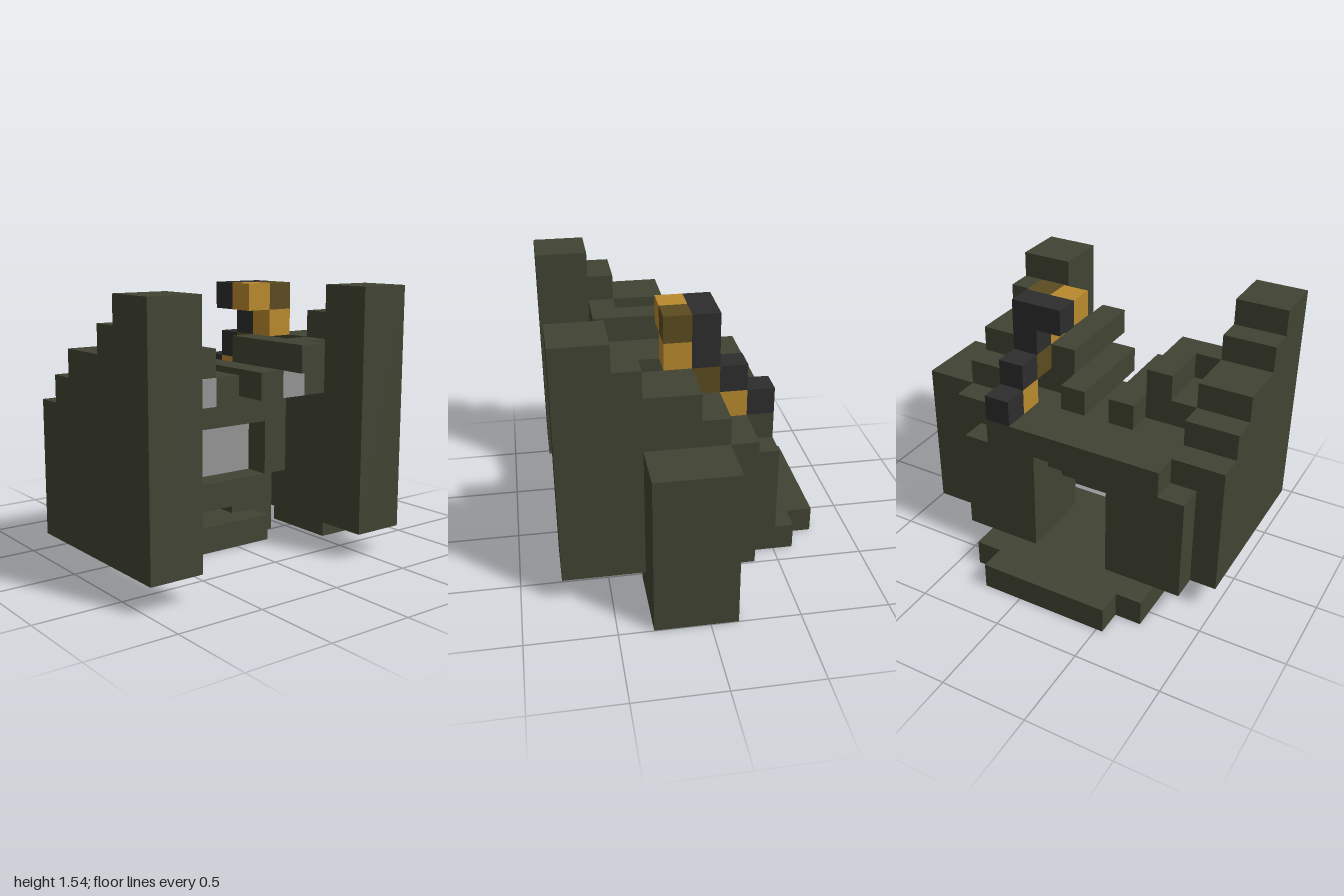
import * as THREE from 'three';

const U = 2 / 13; // one block; the model is 13 x 10 x 10 blocks

const mat = (name, color) => {
  const m = new THREE.MeshStandardMaterial({ color });
  m.name = name;
  return m;
};

export function createModel() {
  const olive = mat('olive', 0x414433);
  const grey = mat('grey', 0x959595);
  const black = mat('charcoal', 0x2d2d2d);
  const gold = mat('brass', 0xb98a2d);
  const bronze = mat('dark brass', 0x5c4b20);

  const root = new THREE.Group();
  root.name = 'blockTurret';

  const group = (name) => {
    const g = new THREE.Group();
    g.name = name;
    root.add(g);
    return g;
  };
  // Block coordinates to model units
  const place = (mesh, x, y, z) => mesh.position.set(x * U - 1, y * U, (z - 5) * U);
  const box = (parent, name, material, [x0, x1], [y0, y1], [z0, z1]) => {
    const mesh = new THREE.Mesh(
      new THREE.BoxGeometry((x1 - x0) * U, (y1 - y0) * U, (z1 - z0) * U), material);
    mesh.name = name;
    place(mesh, (x0 + x1) / 2, (y0 + y1) / 2, (z0 + z1) / 2);
    parent.add(mesh);
  };
  // The same box on both sides of the turret's middle plane
  const pair = (parent, name, material, [x0, x1], y, z) => {
    box(parent, name + 'Right', material, [x0, x1], y, z);
    box(parent, name + 'Left', material, [11 - x1, 11 - x0], y, z);
  };

  // Base plate with notched corners and dark strips underneath
  const base = group('base');
  box(base, 'basePlate', olive, [2, 9], [0, 1], [1, 5]);
  box(base, 'baseBack', olive, [3, 8], [0, 1], [0, 1]);
  box(base, 'baseFront', olive, [3, 8], [0, 1], [5, 6]);
  pair(base, 'baseStrip', black, [3.25, 3.75], [-0.01, 0.02], [1.5, 4.5]);

  // Hull with an open back
  const hull = group('hull');
  pair(hull, 'hullWall', olive, [2, 4], [1, 6], [2, 5]);
  box(hull, 'hullRoof', olive, [4, 7], [5, 6], [2, 5]);
  pair(hull, 'rearShoulder', olive, [1, 2], [1, 5], [2, 3]);
  box(hull, 'innerStepUpper', olive, [4, 7], [4, 5], [3, 5]);
  box(hull, 'innerStepLower', olive, [4, 7], [3, 4], [4, 5]);

  // Front window frame with a recessed panel
  const frame = group('frontFrame');
  pair(frame, 'frameSide', olive, [3, 4], [3, 6], [5, 7]);
  box(frame, 'frameTop', olive, [4, 7], [5, 6], [5, 7]);
  box(frame, 'frameSill', olive, [4, 7], [2, 3], [5, 7]);
  box(frame, 'panelBacking', olive, [4, 7], [3, 5], [5, 6]);
  box(frame, 'panel', grey, [4, 7], [3, 5], [6, 6.03]);

  // Tall side shields, stepped down toward the back
  const shields = group('sideShields');
  const profile = [[3, 1], [10, 1], [10, 10], [8, 10], [8, 9], [7, 9], [7, 8],
    [5, 8], [5, 7], [4, 7], [4, 6], [3, 6]];
  const shieldGeometry = new THREE.ExtrudeGeometry(
    new THREE.Shape(profile.map(([z, y]) => new THREE.Vector2(z * U, y * U))),
    { depth: 2 * U, bevelEnabled: false }).rotateY(-Math.PI / 2);
  for (const [name, x] of [['shieldRight', 2], ['shieldLeft', 11]]) {
    const mesh = new THREE.Mesh(shieldGeometry, olive);
    mesh.name = name;
    place(mesh, x, 0, 0);
    shields.add(mesh);
  }

  // Ammunition box beside the left shield
  const ammo = group('ammunitionBox');
  box(ammo, 'ammoBoxBody', olive, [11, 13], [1, 6], [4, 7]);
  box(ammo, 'ammoBoxBottom', olive, [10, 13], [0, 1], [4, 7]);

  // Roof rails and sight housings with grey lenses
  const roof = group('roofSights');
  pair(roof, 'rail', olive, [4, 5], [6, 7], [4, 8]);
  pair(roof, 'sightBase', olive, [2, 4], [6, 7], [5, 8]);
  pair(roof, 'sightRidge', olive, [3, 4], [7, 8], [5, 8]);
  pair(roof, 'sightBrow', olive, [2, 3], [7, 8], [7, 8]);
  pair(roof, 'lens', grey, [3, 4], [6, 7], [8, 8.03]);
  box(roof, 'sightHood', olive, [7, 8], [7, 8], [8, 9]);

  // Cartridge belt: alternating brass blocks with dark blocks behind
  const belt = group('cartridgeBelt');
  const rounds = [[7, 9, 5, gold], [8, 9, 5, bronze], [8, 8, 5, gold], [8, 7, 4, bronze],
    [8, 6, 3, gold], [7, 9, 4, black], [8, 9, 4, black], [8, 8, 4, black],
    [8, 7, 3, black], [8, 6, 2, black]];
  for (const [x, y, z, m] of rounds) {
    box(belt, m === black ? 'beltTip' : 'cartridge', m, [x, x + 1], [y, y + 1], [z, z + 1]);
  }

  return root;
}
